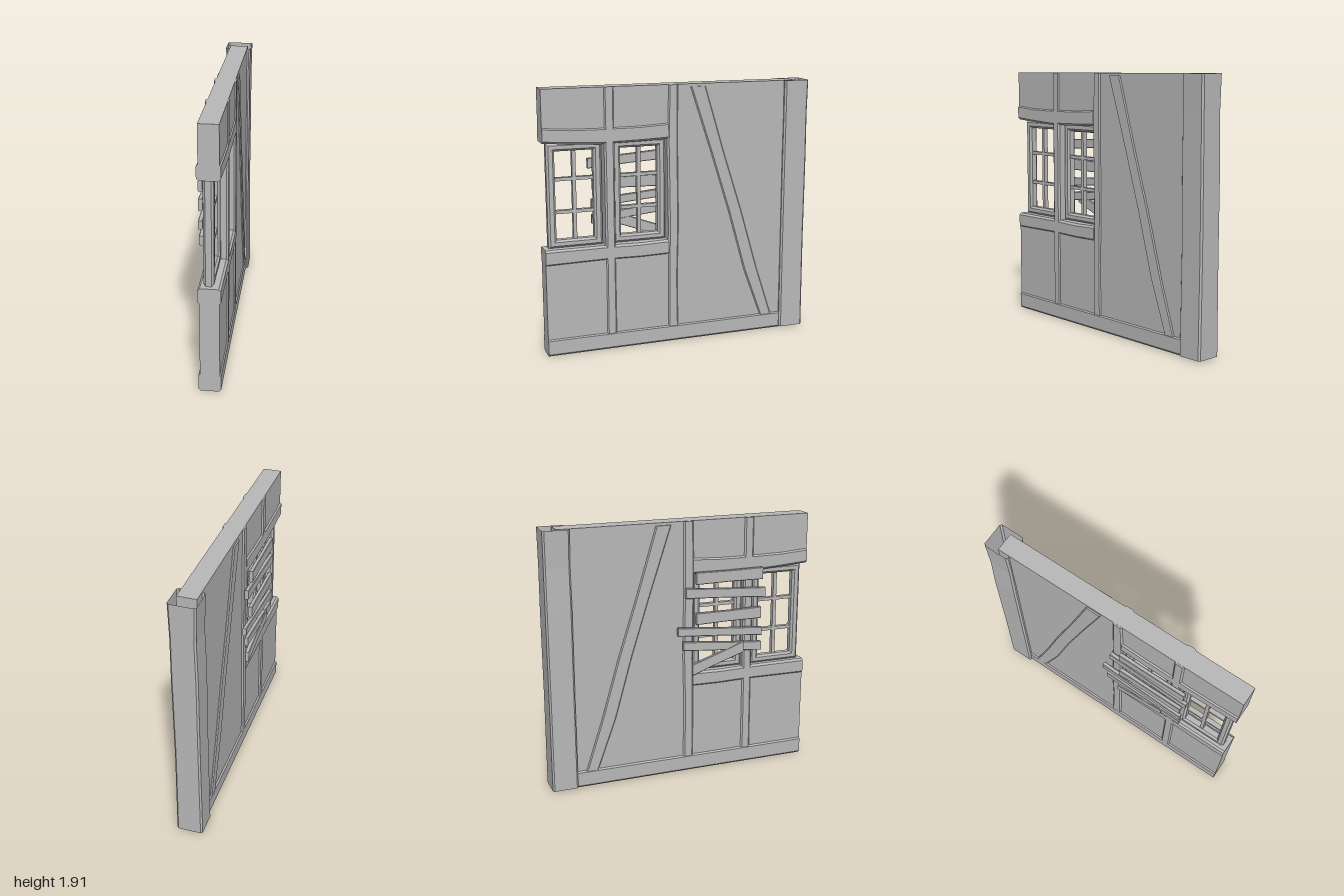
import * as THREE from 'three';

const plaster = new THREE.MeshStandardMaterial({ color: 0xb8b8b8, flatShading: true, side: THREE.DoubleSide });
plaster.name = 'plain grey';

// Loft a chamfered bar through rows [z, y, halfWidth, xCentre, halfDepth].
// across 'z': rows run downwards; across 'y': rows run towards +z.
function bar(name, rows, across, bevel = 0.012, capped = true) {
  const pos = [], idx = [];
  for (const [z, y, w, xc = 0.0175, d = 0.0775] of rows) {
    const b = bevel;
    const ring = [[d, -w + b], [d, w - b], [d - b, w], [-d + b, w], [-d, w - b], [-d, -w + b], [-d + b, -w], [d - b, -w]];
    for (const [u, v] of ring) pos.push(xc + u, across === 'y' ? y + v : y, across === 'z' ? z + v : z);
  }
  for (let i = 0; i < rows.length - 1; i++) {
    for (let j = 0; j < 8; j++) {
      const a = i * 8 + j, b = i * 8 + (j + 1) % 8;
      idx.push(a, b, b + 8, a, b + 8, a + 8);
    }
  }
  if (capped) {
    const e = (rows.length - 1) * 8;
    for (let j = 1; j < 7; j++) idx.push(0, j + 1, j, e, e + j, e + j + 1);
  }
  const g = new THREE.BufferGeometry();
  g.setAttribute('position', new THREE.Float32BufferAttribute(pos, 3));
  g.setIndex(idx);
  const flat = g.toNonIndexed();
  flat.computeVertexNormals();
  const mesh = new THREE.Mesh(flat, plaster);
  mesh.name = name;
  return mesh;
}

// Extrude a (z, y) outline from xMax towards -x
function plate(name, shape, xMax, depth, bevel = 0) {
  const g = new THREE.ExtrudeGeometry(shape, {
    depth: depth - 2 * bevel, bevelEnabled: bevel > 0, bevelSegments: 1,
    bevelSize: bevel, bevelThickness: bevel, bevelOffset: -bevel,
  });
  g.translate(0, 0, bevel);
  g.rotateY(-Math.PI / 2);
  g.translate(xMax, 0, 0);
  const mesh = new THREE.Mesh(g, plaster);
  mesh.name = name;
  return mesh;
}

const outline = (pts, Type = THREE.Shape) => new Type(pts.map(([z, y]) => new THREE.Vector2(z, y)));
const rect = (z0, y0, z1, y1) => [[z0, y0], [z1, y0], [z1, y1], [z0, y1]];

function makeWindow(zc) {
  const win = new THREE.Group();
  win.name = 'window';
  const frame = outline(rect(zc - 0.198, 0.785, zc + 0.198, 1.53));
  frame.holes.push(outline(rect(zc - 0.138, 0.842, zc + 0.138, 1.473), THREE.Path));
  win.add(plate('windowFrame', frame, 0.045, 0.07, 0.015));
  const slat = (name, w, h, y) => {
    const m = new THREE.Mesh(new THREE.BoxGeometry(0.035, h, w), plaster);
    m.position.set(0.01, y, zc);
    m.name = name;
    win.add(m);
  };
  slat('uprightGlazingBar', 0.026, 0.66, 1.157);
  for (const y of [1.274, 1.04]) slat('crossGlazingBar', 0.3, 0.024, y);
  return win;
}

export function createModel() {
  const model = new THREE.Group();
  model.name = 'timberWall';

  // Wall panel, open at the window end
  model.add(plate('wallPanel', outline([
    [-0.9, 0.01], [1, 0.01], [1, 0.73], [0.05, 0.73], [0.05, 1.58], [1, 1.58], [1, 1.91], [-0.9, 1.91],
  ]), 0.086, 0.135));

  // Horizontal timbers
  model.add(
    bar('baseBeam', [[-0.9, 0.066, 0.066], [0.1, 0.066, 0.065], [1, 0.066, 0.066]], 'y', 0.015),
    bar('windowSillBeam', [[0.09, 0.73, 0.056], [0.3, 0.725, 0.055], [0.55, 0.73, 0.055], [1, 0.727, 0.058]], 'y', 0.015),
    bar('windowHeadBeam', [[0.09, 1.585, 0.06], [0.3, 1.576, 0.058], [0.6, 1.573, 0.06], [0.8, 1.58, 0.056], [1, 1.595, 0.056]], 'y', 0.015),
  );

  // Upright timbers
  model.add(
    bar('windowPost', [[0.526, 1.908, 0.038], [0.526, 1, 0.036], [0.526, 0.12, 0.038]], 'z'),
    bar('middlePost', [[0.053, 1.908, 0.038], [0.058, 1.5, 0.041], [0.05, 0.9, 0.04], [0.057, 0.5, 0.038], [0.053, 0.12, 0.04]], 'z'),
  );

  // Bent diagonal brace, showing on both faces
  model.add(bar('diagonalBrace', [
    [-0.134, 1.89, 0.057], [-0.29, 1.4, 0.05], [-0.43, 0.964, 0.051], [-0.563, 0.504, 0.053], [-0.697, 0.12, 0.045],
  ], 'z', 0.008));

  // Hollow corner post, open at the ends
  model.add(bar('cornerPost', [
    [-0.905, 1.91, 0.095, 0.018, 0.095], [-0.905, 1.65, 0.093, 0.02, 0.088],
    [-0.905, 1.35, 0.095, 0.017, 0.092], [-0.905, 0.7, 0.094, 0.016, 0.09], [-0.905, 0.01, 0.095, 0.018, 0.095],
  ], 'z', 0.012, false));

  // Pair of windows
  for (const z of [0.768, 0.294]) model.add(makeWindow(z));

  // Loose boards nailed over the rear of one window: [z0, y0, z1, y1, halfHeight, x0, x1]
  const boards = [
    [0.1, 1.5, 0.62, 1.5, 0.045, -0.088, -0.088],
    [0.02, 1.395, 0.645, 1.355, 0.037, -0.082, -0.085],
    [0.1, 1.2, 0.61, 1.205, 0.044, -0.085, -0.09],
    [-0.04, 1.115, 0.62, 1.06, 0.032, -0.085, -0.09],
    [0.0, 1.005, 0.62, 0.945, 0.034, -0.088, -0.085],
    [0.08, 0.81, 0.47, 0.955, 0.043, -0.07, -0.095],
  ];
  for (const [z0, y0, z1, y1, h, x0, x1] of boards) {
    model.add(bar('looseBoard', [
      [z0, y0, h, x0, 0.015],
      [(z0 + z1) / 2, (y0 + y1) / 2, h * 0.93, (x0 + x1) / 2, 0.014],
      [z1, y1, h, x1, 0.015],
    ], 'y', 0.004));
  }
  return model;
}
